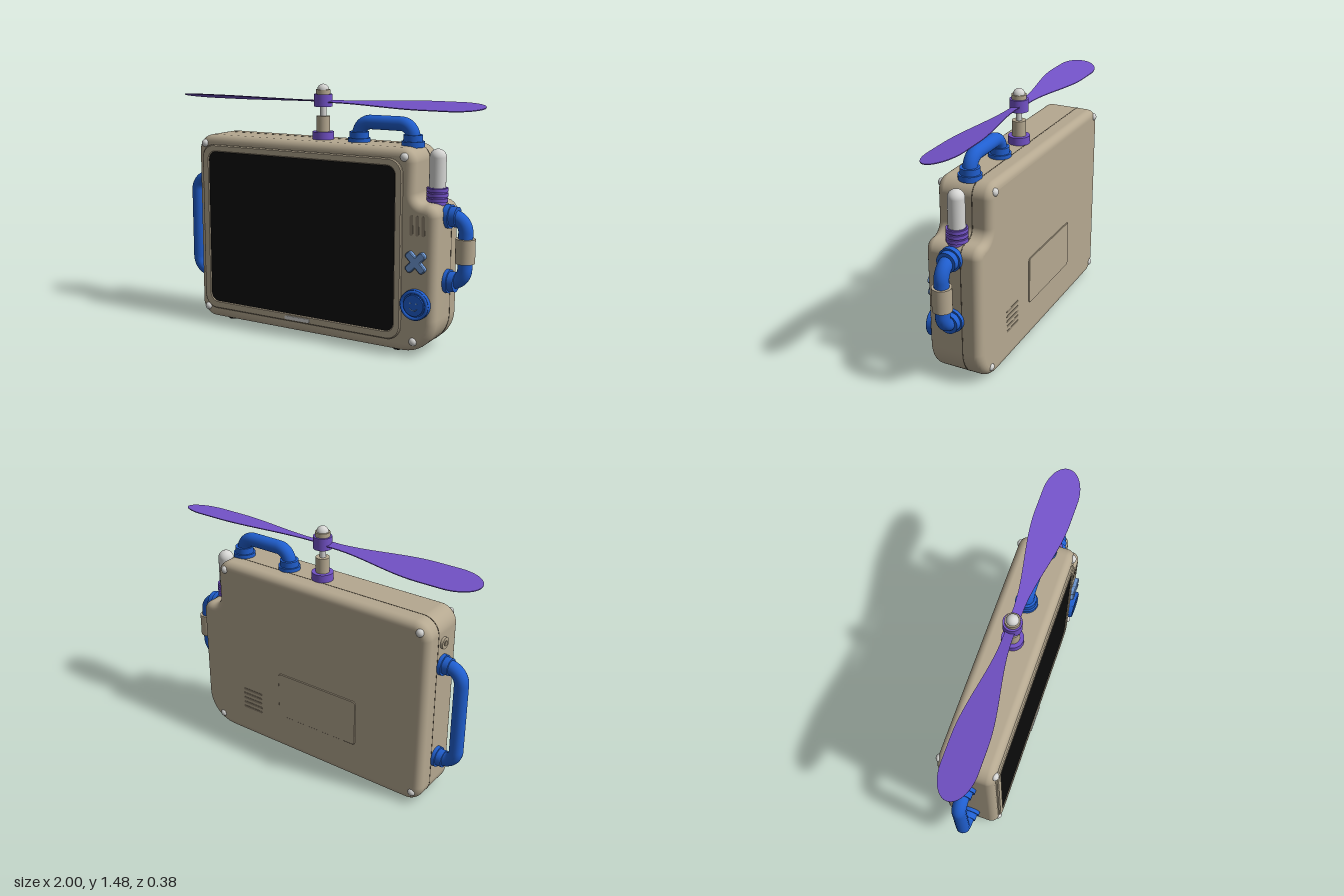
import * as THREE from 'three';
import { mergeVertices, toCreasedNormals } from 'three/addons/utils/BufferGeometryUtils.js';

const material = (name, color, side = THREE.FrontSide) => {
  const m = new THREE.MeshStandardMaterial({ color, side });
  m.name = name;
  return m;
};

// Right-angled polygon with rounded corners, points are [x, y, radius]
function rounded(points, Type = THREE.Shape) {
  const s = new Type(), n = points.length, k = 0.5523;
  points.forEach(([x, y, r], i) => {
    const p = new THREE.Vector2(x, y);
    const toward = (q) => new THREE.Vector2(q[0], q[1]).sub(p).normalize();
    const u = toward(points[(i + n - 1) % n]).multiplyScalar(r);
    const v = toward(points[(i + 1) % n]).multiplyScalar(r);
    if (i) s.lineTo(x + u.x, y + u.y); else s.moveTo(x + u.x, y + u.y);
    if (r) s.bezierCurveTo(x + u.x * (1 - k), y + u.y * (1 - k), x + v.x * (1 - k), y + v.y * (1 - k), x + v.x, y + v.y);
  });
  s.closePath();
  return s;
}
const rect = (x0, y0, x1, y1, r, Type) =>
  rounded([[x0, y0, r], [x1, y0, r], [x1, y1, r], [x0, y1, r]], Type);

// Case outline, grown outwards by e
const caseOutline = (e = 0) => rounded([
  [-0.8 - e, 0.01 - e, 0.1], [0.8 + e, 0.01 - e, 0.2], [0.8 + e, 0.855 + e, 0.065],
  [0.663 + e, 0.855 + e, 0.06], [0.663 + e, 1.16 + e, 0.08], [-0.8 - e, 1.16 + e, 0.1],
]);

// Extrusion between two z values, with an optional bevel kept inside the outline
function slab(shape, z0, z1, bevel = 0, segments = 1) {
  const g = new THREE.ExtrudeGeometry(shape, {
    depth: z1 - z0 - 2 * bevel, curveSegments: 10, bevelEnabled: bevel > 0,
    bevelThickness: bevel, bevelSize: bevel, bevelOffset: -bevel, bevelSegments: segments,
  });
  return g.translate(0, 0, z0 + bevel);
}

export function createModel() {
  const model = new THREE.Group();
  const tan = material('tan plastic', 0xb5a890);
  const darkTan = material('shaded tan', 0x8f8470);
  const seamColor = material('seam brown', 0x5a5244);
  const blue = material('blue', 0x205fd0);
  const lightBlue = material('light blue', 0x719cd8);
  const purple = material('purple', 0x7352c8, THREE.DoubleSide);
  const pale = material('pale grey', 0xd6d6d4);
  const black = material('black', 0x0b0b0b);
  const Z = -0.012;

  const add = (name, geometry, mat, x = 0, y = 0, z = 0, parent = model) => {
    const m = new THREE.Mesh(geometry, mat);
    m.name = name;
    m.position.set(x, y, z);
    parent.add(m);
    return m;
  };
  const crisp = (g) => toCreasedNormals(g, 0.6);
  // Upright cylinder from y0 to y1
  const post = (name, mat, r, y0, y1, x, z, parent) =>
    add(name, new THREE.CylinderGeometry(r, r, y1 - y0, 32), mat, x, (y0 + y1) / 2, z, parent);
  // Disc facing +z from z0 to z1
  const disc = (name, mat, r, z0, z1, x, y) =>
    add(name, new THREE.CylinderGeometry(r, r, z1 - z0, 40).rotateX(Math.PI / 2), mat, x, y, (z0 + z1) / 2);

  // Case with soft edges and a seam round it
  let body = slab(caseOutline(), -0.177, 0.15, 0.045, 6);
  body.deleteAttribute('normal');
  body.deleteAttribute('uv');
  body = mergeVertices(body, 1e-5);
  body.computeVertexNormals();
  add('case', body, tan);
  add('caseSeam', slab(caseOutline(0.001), -0.068, -0.062), seamColor);

  // Screen and its frame
  const frame = rect(-0.755, 0.075, 0.6, 1.103, 0.085);
  frame.holes.push(rect(-0.706, 0.123, 0.556, 1.06, 0.05, THREE.Path));
  add('screenFrame', crisp(slab(frame, 0.14, 0.165, 0.006)), tan);
  add('screen', slab(rect(-0.712, 0.117, 0.562, 1.066, 0.05), 0.145, 0.16), black);
  add('statusBar', slab(rect(-0.16, 0.086, 0.01, 0.108, 0.008), 0.16, 0.17), pale);

  // Corner screws, front and back
  for (const [x, y] of [[-0.743, 1.107], [0.604, 1.112], [-0.743, 0.075], [0.674, 0.08]]) {
    for (const z of [0.145, -0.168]) {
      const s = add('screw', new THREE.SphereGeometry(0.024, 20, 12), pale, x, y, z);
      s.scale.z = 0.9;
    }
  }

  // Front speaker slots
  for (const x of [0.654, 0.69, 0.726])
    add('speakerSlot', slab(rect(x - 0.01, 0.684, x + 0.01, 0.797, 0.0095), 0.146, 0.152), darkTan);

  // Diagonal cross button
  const a = 0.022, b = 0.072, r = 0.016;
  const cross = rounded([
    [a, a, 0.004], [a, b, r], [-a, b, r], [-a, a, 0.004], [-b, a, r], [-b, -a, r],
    [-a, -a, 0.004], [-a, -b, r], [a, -b, r], [a, -a, 0.004], [b, -a, r], [b, a, r],
  ]);
  add('crossButton', crisp(slab(cross, 0.14, 0.176, 0.005)), lightBlue, 0.69, 0.54).rotation.z = Math.PI / 4;

  // Round button with a smile
  disc('buttonBase', blue, 0.087, 0.14, 0.175, 0.69, 0.3);
  add('buttonRim', new THREE.TorusGeometry(0.076, 0.009, 10, 48), blue, 0.69, 0.3, 0.175);
  disc('buttonCap', blue, 0.06, 0.17, 0.186, 0.69, 0.3);
  for (const x of [-0.018, 0.018]) disc('buttonEye', lightBlue, 0.005, 0.184, 0.188, 0.69 + x, 0.313);
  add('buttonSmile', new THREE.TorusGeometry(0.028, 0.0025, 6, 20, 2).rotateZ(-Math.PI / 2 - 1), lightBlue, 0.69, 0.3, 0.186);

  // Back hatch and vents
  add('backHatch', crisp(slab(rect(-0.353, 0.245, 0.207, 0.54, 0.02), -0.183, -0.17, 0.003)), tan);
  for (let i = 0; i < 5; i++) {
    const y = 0.205 + i * 0.032;
    add('backVent', slab(rect(0.346, y - 0.007, 0.49, y + 0.007, 0.0065), -0.179, -0.172), darkTan);
  }

  // Feet
  for (const x of [-0.604, 0.55]) for (const z of [0.077, -0.103]) post('foot', black, 0.027, 0, 0.02, x, z);

  // Side knob
  const knob = new THREE.Group();
  knob.name = 'sideKnob';
  knob.position.set(-0.8, 1.0, Z);
  knob.rotation.z = Math.PI / 2;
  post('knobBase', tan, 0.034, -0.01, 0.015, 0, 0, knob);
  post('knobCentre', darkTan, 0.016, 0, 0.019, 0, 0, knob);
  model.add(knob);

  // Tube handle rising along local y, with stepped flanges at its two feet
  function handle(name, x, y, turn, w, h, bend, flange) {
    const g = new THREE.Group();
    g.name = name;
    g.position.set(x, y, Z);
    g.rotation.z = turn;
    const P = (px, py) => new THREE.Vector3(px, py, 0);
    const k = bend * 0.4477;
    const path = new THREE.CurvePath();
    path.add(new THREE.LineCurve3(P(-w, -0.01), P(-w, h - bend)));
    path.add(new THREE.CubicBezierCurve3(P(-w, h - bend), P(-w, h - k), P(-w + k, h), P(-w + bend, h)));
    path.add(new THREE.LineCurve3(P(-w + bend, h), P(w - bend, h)));
    path.add(new THREE.CubicBezierCurve3(P(w - bend, h), P(w - k, h), P(w, h - k), P(w, h - bend)));
    path.add(new THREE.LineCurve3(P(w, h - bend), P(w, -0.01)));
    add('handleTube', new THREE.TubeGeometry(path, 90, 0.041, 20), blue, 0, 0, 0, g);
    for (const s of [-w, w]) {
      post('handleFlange', blue, flange, -0.01, 0.022, s, 0, g);
      post('handleCollar', blue, flange - 0.01, 0.02, 0.058, s, 0, g);
    }
    model.add(g);
    return g;
  }
  handle('topHandle', 0.41, 1.16, 0, 0.17, 0.115, 0.075, 0.065);
  handle('rightHandle', -0.8, 0.564, Math.PI / 2, 0.302, 0.127, 0.085, 0.06);
  const grip = handle('leftHandle', 0.8, 0.596, -Math.PI / 2, 0.184, 0.107, 0.08, 0.067);
  add('gripSleeve', new THREE.CylinderGeometry(0.055, 0.055, 0.138, 32).rotateZ(Math.PI / 2), tan, 0, 0.107, 0, grip);

  // Antenna
  add('antenna', new THREE.CapsuleGeometry(0.047, 0.206, 10, 28), pale, 0.733, 1.0, Z);
  post('antennaBase', purple, 0.052, 0.84, 0.937, 0.733, Z);
  for (const y of [0.868, 0.896, 0.924]) post('antennaRing', purple, 0.06, y - 0.01, y + 0.01, 0.733, Z);

  // Rotor mast and hub
  post('mastBase', purple, 0.063, 1.15, 1.205, 0, Z);
  post('mastSocket', tan, 0.04, 1.2, 1.295, 0, Z);
  post('mastShaft', pale, 0.018, 1.29, 1.355, 0, Z);
  post('rotorHub', purple, 0.054, 1.35, 1.422, 0, Z);
  post('rotorCollar', tan, 0.043, 1.42, 1.448, 0, Z);
  add('rotorCap', new THREE.SphereGeometry(0.035, 24, 12, 0, Math.PI * 2, 0, Math.PI / 2), pale, 0, 1.446, Z);

  // Twisted blades, narrow at the root and round at the tip
  const blade = new THREE.BoxGeometry(1, 0.005, 1, 48, 1, 6);
  const p = blade.attributes.position;
  for (let i = 0; i < p.count; i++) {
    const x = Math.sin((p.getX(i) + 0.5) * Math.PI / 2);
    const tip = Math.max(0, (x - 0.82) / 0.18);
    const half = (0.027 + 0.076 * THREE.MathUtils.smoothstep(x, 0.08, 0.68)) * Math.sqrt(Math.max(0, 1 - tip * tip));
    const z = p.getZ(i) * 2 * half;
    p.setXYZ(i, x, p.getY(i) - 0.17 * z, z);
  }
  blade.computeVertexNormals();
  for (const turn of [0, Math.PI]) add('rotorBlade', blade, purple, 0, 1.381, Z).rotation.y = turn;

  return model;
}
